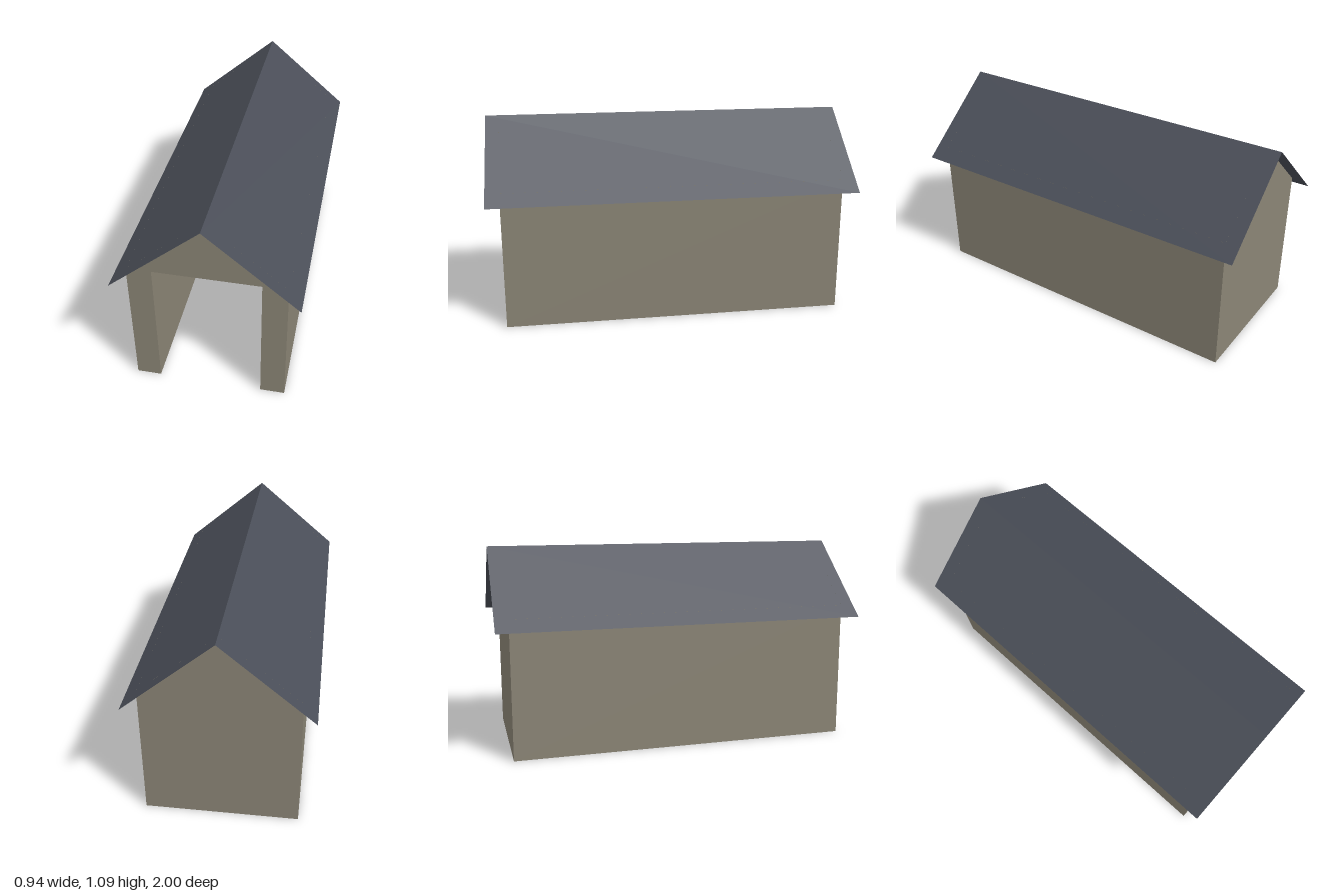
import * as THREE from 'three';

export function createModel() {
  const model = new THREE.Group();
  const wall = new THREE.MeshStandardMaterial({ color: 0x8a8475, side: THREE.DoubleSide });
  const slate = new THREE.MeshStandardMaterial({ color: 0x4a4e58, side: THREE.DoubleSide });
  wall.name = 'taupe wall';
  slate.name = 'slate roof';

  const W = 0.4, D = 0.927, H = 0.745;       // half width, half depth, wall height
  const inner = 0.272, back = -0.8;          // inner wall x, inner back wall z
  const ridge = 1.086, eaveX = 0.47, eaveY = 0.685, roofZ = 1;

  const add = (name, geometry, material, x = 0, y = 0, z = 0) => {
    const mesh = new THREE.Mesh(geometry, material);
    mesh.name = name;
    mesh.position.set(x, y, z);
    model.add(mesh);
    return mesh;
  };
  const outline = pts => new THREE.Shape(pts.map(p => new THREE.Vector2(...p)));

  // Gable ends: the front is cut by the doorway, the back is closed
  add('frontGable', new THREE.ShapeGeometry(outline([
    [-W, 0], [-inner, 0], [-inner, H], [inner, H], [inner, 0],
    [W, 0], [W, H], [0, ridge], [-W, H],
  ])), wall, 0, 0, D);
  add('backGable', new THREE.ShapeGeometry(outline([
    [-W, 0], [W, 0], [W, H], [0, ridge], [-W, H],
  ])).rotateY(Math.PI), wall, 0, 0, -D);

  // Hollow double walls and roof slopes, mirrored left and right
  const slope = Math.atan2(ridge - eaveY, eaveX);
  for (const [side, s] of [['left', 1], ['right', -1]]) {
    const panel = turn => new THREE.PlaneGeometry(2 * D, H).rotateY(turn * Math.PI / 2);
    add(side + 'OuterWall', panel(s), wall, s * W, H / 2, 0);
    add(side + 'InnerWall', panel(-s), wall, s * inner, H / 2, 0);

    const roof = new THREE.PlaneGeometry(Math.hypot(eaveX, ridge - eaveY), 2 * roofZ)
      .rotateX(-Math.PI / 2).rotateZ(-s * slope);
    add(side + 'RoofSlope', roof, slate, s * eaveX / 2, (ridge + eaveY) / 2, 0);
  }

  // Inner back wall and ceiling of the passage
  add('innerBackWall', new THREE.PlaneGeometry(2 * W, H), wall, 0, H / 2, back);
  add('ceiling', new THREE.PlaneGeometry(2 * inner, D - back).rotateX(Math.PI / 2),
    wall, 0, H, (D + back) / 2);

  return model;
}
